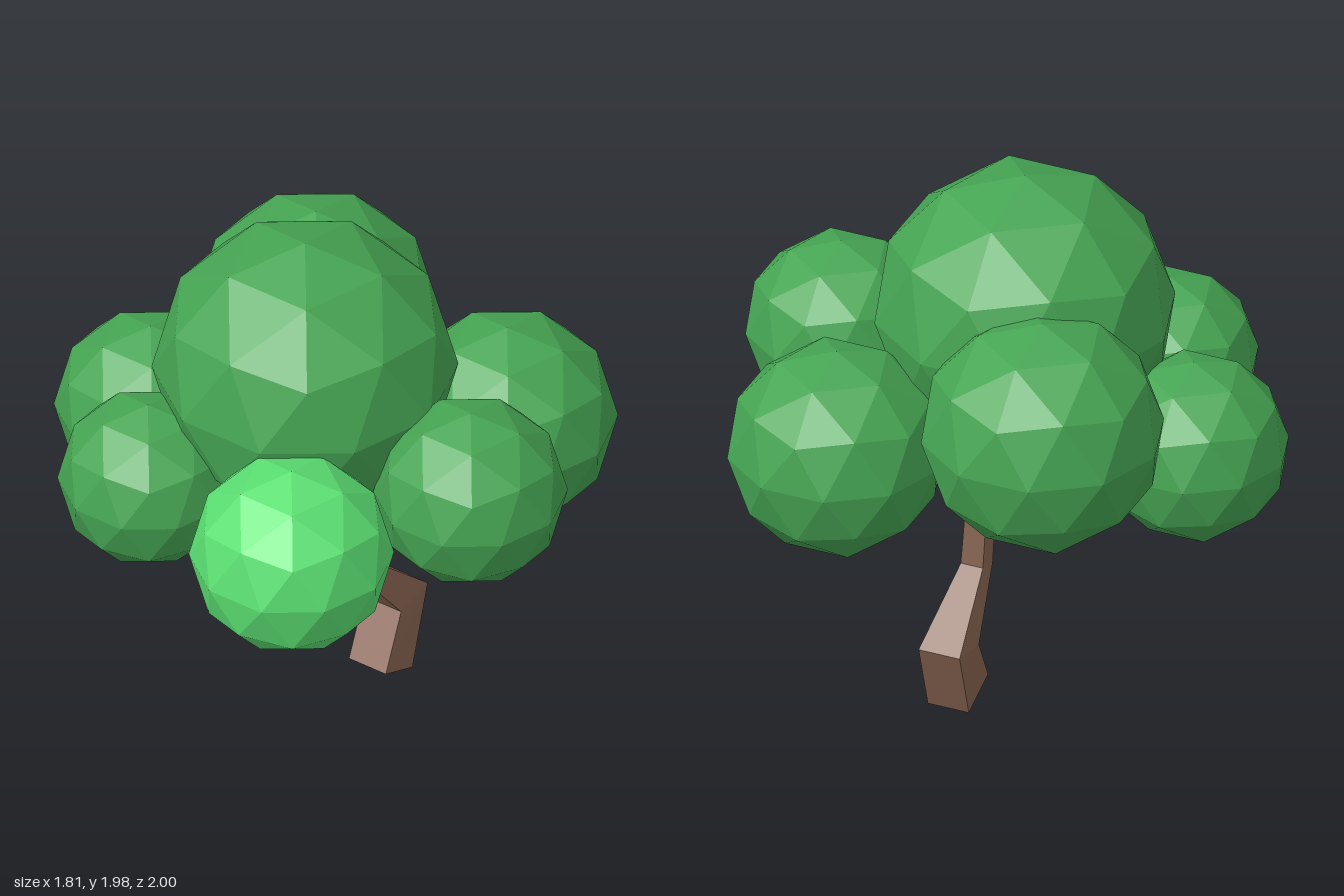
import * as THREE from 'three';

const bark = new THREE.MeshStandardMaterial({ color: 0x896552, flatShading: true });
bark.name = 'bark brown';
const leaf = new THREE.MeshStandardMaterial({ color: 0x46a553, flatShading: true });
leaf.name = 'leaf green';
const brightLeaf = new THREE.MeshStandardMaterial({ color: 0x5be072, flatShading: true });
brightLeaf.name = 'bright leaf green';

// Four-sided limb through sections { c: centre, n: direction, w: half width, d: half depth }
function limb(name, sections) {
  const rings = sections.map(({ c, n, w, d }) => {
    const dir = new THREE.Vector3(...n).normalize();
    const v = new THREE.Vector3(0, 0, 1).projectOnPlane(dir).normalize();
    const u = new THREE.Vector3().crossVectors(dir, v);
    return [[1, 1], [1, -1], [-1, -1], [-1, 1]].map(([a, b]) =>
      new THREE.Vector3(...c).addScaledVector(u, a * w).addScaledVector(v, b * d));
  });
  const pts = [];
  const quad = (a, b, c, d) => pts.push(a, b, c, a, c, d);
  for (let k = 0; k < rings.length - 1; k++) {
    for (let i = 0; i < 4; i++) {
      const j = (i + 1) % 4;
      quad(rings[k][i], rings[k][j], rings[k + 1][j], rings[k + 1][i]);
    }
  }
  const [b, t] = [rings[0], rings[rings.length - 1]];
  quad(b[3], b[2], b[1], b[0]);
  quad(t[0], t[1], t[2], t[3]);
  const geometry = new THREE.BufferGeometry().setFromPoints(pts);
  geometry.computeVertexNormals();
  const mesh = new THREE.Mesh(geometry, bark);
  mesh.name = name;
  return mesh;
}

// Faceted ball of leaves with a corner pointing straight up
function foliage(name, x, y, z, r, material = leaf) {
  const geometry = new THREE.IcosahedronGeometry(r, 1);
  geometry.rotateZ(-Math.atan(2 / (1 + Math.sqrt(5))));
  geometry.computeVertexNormals();
  const mesh = new THREE.Mesh(geometry, material);
  mesh.name = name;
  mesh.position.set(x, y, z);
  return mesh;
}

export function createModel() {
  const tree = new THREE.Group();
  tree.name = 'tree';

  // Crooked trunk
  tree.add(limb('trunk', [
    { c: [0.25, 0.036, 0.09], n: [0.4, 0.92, 0], w: 0.087, d: 0.078 },
    { c: [0.37, 0.272, 0.07], n: [-0.16, 0.99, 0], w: 0.081, d: 0.078 },
    { c: [0.16, 0.5, 0.06], n: [-0.24, 0.97, 0], w: 0.042, d: 0.042 },
    { c: [0.15, 0.72, 0.05], n: [0, 1, 0], w: 0.04, d: 0.04 },
    { c: [0.15, 0.8, 0.045], n: [0, 1, 0], w: 0.055, d: 0.05 },
  ]));

  // Three branches spreading from the fork
  tree.add(limb('upperBranch', [
    { c: [0.155, 0.73, 0.05], n: [0.3, 1, 0], w: 0.04, d: 0.04 },
    { c: [0.2, 0.87, 0.04], n: [0.45, 1, 0], w: 0.036, d: 0.036 },
    { c: [0.31, 1.1, 0.035], n: [0.45, 1, 0], w: 0.025, d: 0.016 },
  ]));
  tree.add(limb('backBranch', [
    { c: [0.15, 0.74, 0.045], n: [-0.4, 1, -0.5], w: 0.042, d: 0.042 },
    { c: [0.08, 0.83, -0.04], n: [-0.6, 0.5, -0.75], w: 0.037, d: 0.037 },
    { c: [-0.14, 0.98, -0.32], n: [-0.6, 0.4, -0.75], w: 0.022, d: 0.022 },
  ]));
  tree.add(limb('sideBranch', [
    { c: [0.145, 0.74, 0.055], n: [-0.6, 1, 0.2], w: 0.042, d: 0.042 },
    { c: [0.05, 0.83, 0.09], n: [-1, 0.7, 0.3], w: 0.035, d: 0.035 },
    { c: [-0.14, 0.92, 0.13], n: [-1, 0.5, 0.2], w: 0.024, d: 0.024 },
  ]));

  // Crown
  tree.add(
    foliage('topFoliage', -0.02, 1.45, -0.04, 0.53),
    foliage('brightFoliage', -0.57, 1.122, 0.29, 0.355, brightLeaf),
    foliage('frontFoliage', -0.02, 1.213, 0.66, 0.336),
    foliage('frontLeftFoliage', 0.54, 1.078, 0.42, 0.384),
    foliage('backLeftFoliage', 0.443, 1.273, -0.32, 0.428),
    foliage('backFoliage', -0.058, 1.03, -0.665, 0.335),
    foliage('backRightFoliage', -0.48, 1.1, -0.38, 0.313),
  );
  return tree;
}
